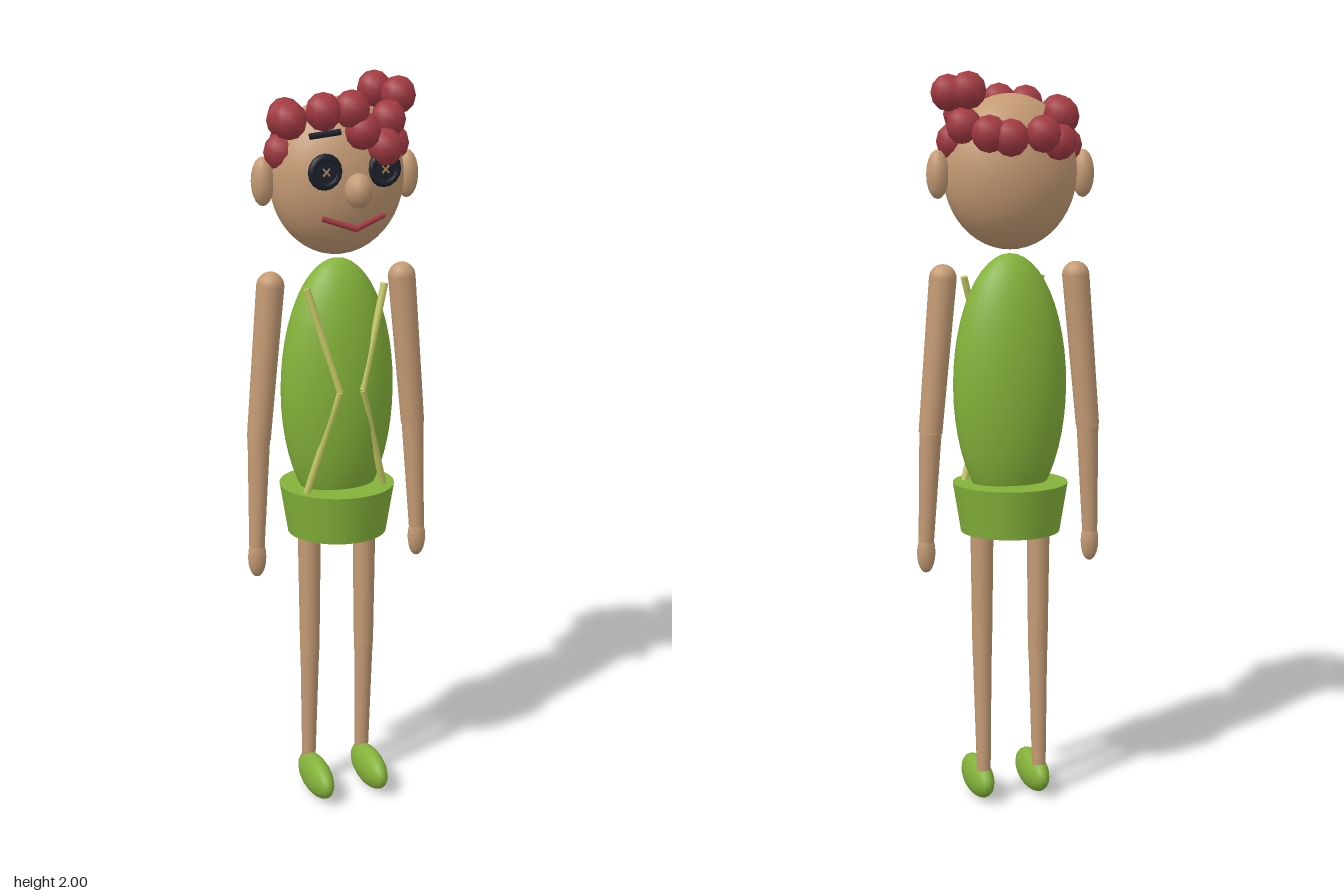
import * as THREE from 'three';

const mat = (name, color) => {
  const m = new THREE.MeshStandardMaterial({ color });
  m.name = name;
  return m;
};

export function createModel() {
  const model = new THREE.Group();
  model.name = 'ragDoll';

  const skin = mat('skin tan', 0xc49a74);
  const green = mat('cloth green', 0x84b23a);
  const strapMat = mat('strap yellow green', 0xc4c864);
  const red = mat('yarn red', 0xa23a42);
  const dark = mat('button black', 0x1c202c);
  const thread = mat('thread gold', 0xb08a50);

  const V = (x, y, z) => new THREE.Vector3(x, y, z);

  function add(name, geometry, material, x = 0, y = 0, z = 0) {
    const mesh = new THREE.Mesh(geometry, material);
    mesh.name = name;
    mesh.position.set(x, y, z);
    model.add(mesh);
    return mesh;
  }

  function ellipsoid(name, material, pos, radii, w = 24, h = 16) {
    const mesh = add(name, new THREE.SphereGeometry(1, w, h), material, ...pos);
    mesh.scale.set(...radii);
    return mesh;
  }

  // Tapered limb from a (radius ra) to b (radius rb)
  function limb(name, material, a, b, ra, rb, sides = 16) {
    const dir = b.clone().sub(a);
    const geo = new THREE.CylinderGeometry(rb, ra, dir.length(), sides);
    const mid = a.clone().add(b).multiplyScalar(0.5);
    const mesh = add(name, geo, material, mid.x, mid.y, mid.z);
    mesh.quaternion.setFromUnitVectors(V(0, 1, 0), dir.normalize());
    return mesh;
  }

  // Body and trunks
  ellipsoid('torso', green, [0, 1.17, -0.002], [0.157, 0.355, 0.107], 32, 24);
  add('trunks', new THREE.CylinderGeometry(0.157, 0.135, 0.135, 32), green, 0, 0.837, -0.004);

  // Head, nose and mouth
  ellipsoid('head', skin, [0, 1.74, -0.005], [0.182, 0.205, 0.135], 32, 24);
  ellipsoid('nose', skin, [0, 1.722, 0.148], [0.037, 0.045, 0.037], 12, 10);

  for (const s of [-1, 1]) {
    const side = s > 0 ? 'left' : 'right';

    ellipsoid(side + 'Ear', skin, [s * 0.202, 1.735, -0.012], [0.031, 0.064, 0.03], 12, 10);
    limb(side + 'Mouth', red, V(0, 1.622, 0.132), V(s * 0.085, 1.65, 0.112), 0.008, 0.007, 8);

    // Button eye with a stitched cross
    const disc = add(side + 'EyeButton', new THREE.CylinderGeometry(0.04, 0.04, 0.016, 16), dark, s * 0.081, 1.77, 0.121);
    disc.rotation.x = Math.PI / 2;
    add(side + 'EyeRim', new THREE.TorusGeometry(0.036, 0.011, 8, 16), dark, s * 0.081, 1.77, 0.121);
    for (const d of [-1, 1]) {
      const stitch = add(side + 'EyeStitch', new THREE.BoxGeometry(0.026, 0.004, 0.004), thread, s * 0.081, 1.77, 0.131);
      stitch.rotation.z = d * Math.PI / 4;
    }
    limb(side + 'Brow', dark, V(s * 0.035, 1.868, 0.112), V(s * 0.115, 1.858, 0.1), 0.008, 0.008, 8);

    // Suspender strap, bent inward at the middle
    const strap = [V(s * 0.11, 1.46, 0.06), V(s * 0.032, 1.185, 0.1), V(s * 0.112, 0.9, 0.058)];
    limb(side + 'StrapUpper', strapMat, strap[0], strap[1], 0.01, 0.01, 8);
    limb(side + 'StrapLower', strapMat, strap[1], strap[2], 0.01, 0.01, 8);

    // Arm
    const shoulder = V(s * 0.187, 1.463, -0.003);
    const elbow = V(s * 0.224, 1.05, -0.003);
    const wrist = V(s * 0.236, 0.75, 0.005);
    ellipsoid(side + 'Shoulder', skin, shoulder.toArray(), [0.037, 0.037, 0.037], 16, 12);
    limb(side + 'UpperArm', skin, shoulder, elbow, 0.037, 0.032);
    limb(side + 'Forearm', skin, elbow, wrist, 0.03, 0.021);
    ellipsoid(side + 'Hand', skin, [s * 0.236, 0.72, 0.006], [0.026, 0.056, 0.02], 12, 10);

    // Leg and shoe
    const knee = V(s * 0.081, 0.42, -0.004);
    limb(side + 'Thigh', skin, V(s * 0.081, 0.8, -0.004), knee, 0.032, 0.027);
    limb(side + 'Shin', skin, knee, V(s * 0.081, 0.08, -0.016), 0.026, 0.019);
    ellipsoid(side + 'Shoe', green, [s * 0.081, 0.057, 0.042], [0.036, 0.055, 0.108], 20, 14);
  }

  // Ring of faceted yarn curls
  const curls = [
    [-0.045, 1.84, -0.145], [0.043, 1.83, -0.145], [-0.095, 1.82, -0.125], [0.095, 1.84, -0.125],
    [-0.107, 1.888, -0.103], [0.144, 1.95, -0.1], [-0.125, 1.884, -0.06], [0.142, 1.86, -0.055],
    [0.162, 1.945, 0.02], [-0.154, 1.895, 0.058], [-0.155, 1.81, 0], [0.155, 1.82, -0.005],
    [0.115, 1.89, 0.065], [-0.082, 1.92, 0.112], [-0.01, 1.925, 0.125], [0.02, 1.87, 0.125],
    [0.085, 1.825, 0.115],
  ];
  const curlGeo = new THREE.SphereGeometry(0.049, 8, 6);
  for (const [x, y, z] of curls) add('hairCurl', curlGeo, red, x, y, z);

  return model;
}
